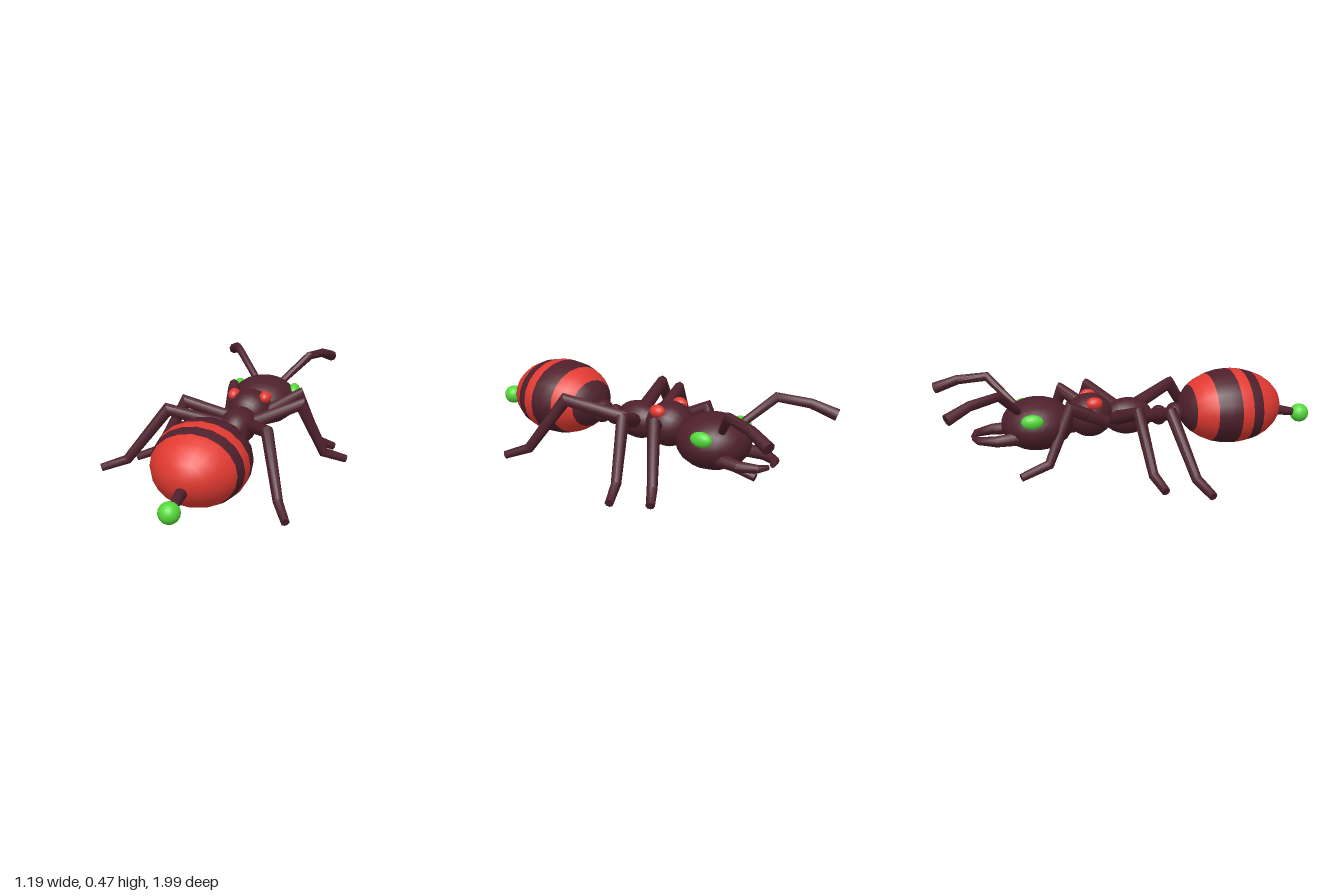
import * as THREE from 'three';
import { toCreasedNormals } from 'three/addons/utils/BufferGeometryUtils.js';

const CX = 0.072; // body axis
const V = (a) => new THREE.Vector3(...a);

// Mitred tube through points with one radius per point and closed ends.
function limbGeometry(points, radii, ref, sides = 8) {
  const p = points.map(V), pos = [], idx = [];
  p.forEach((c, i) => {
    const a = p[Math.max(i - 1, 0)], b = p[Math.min(i + 1, p.length - 1)];
    const before = (i ? c.clone().sub(a) : b.clone().sub(c)).normalize();
    const after = (i < p.length - 1 ? b.clone().sub(c) : c.clone().sub(a)).normalize();
    const t = before.clone().add(after).normalize();
    const mitre = 1 / Math.max(t.dot(before), 0.6);
    const side = ref.clone().addScaledVector(t, -ref.dot(t)).normalize();
    const up = t.clone().cross(side);
    for (let k = 0; k < sides; k++) {
      const g = (k / sides) * Math.PI * 2;
      const q = c.clone()
        .addScaledVector(side, Math.cos(g) * radii[i])
        .addScaledVector(up, Math.sin(g) * radii[i] * mitre);
      pos.push(q.x, q.y, q.z);
    }
  });
  for (let i = 0; i < p.length - 1; i++) {
    for (let k = 0; k < sides; k++) {
      const a = i * sides + k, b = i * sides + ((k + 1) % sides);
      idx.push(a, b, a + sides, b, b + sides, a + sides);
    }
  }
  const last = (p.length - 1) * sides;
  for (let k = 1; k < sides - 1; k++) {
    idx.push(0, k + 1, k, last, last + k, last + k + 1);
  }
  const geo = new THREE.BufferGeometry();
  geo.setAttribute('position', new THREE.Float32BufferAttribute(pos, 3));
  geo.setIndex(idx);
  return toCreasedNormals(geo, 0.85);
}

export function createModel() {
  const model = new THREE.Group();
  const material = (name, color) => {
    const m = new THREE.MeshStandardMaterial({ color });
    m.name = name;
    return m;
  };
  const shell = material('dark maroon shell', 0x4e202c);
  const red = material('bright red', 0xe23a31);
  const green = material('bright green', 0x55d93a);

  const add = (name, geo, mat) => {
    const mesh = new THREE.Mesh(geo, mat);
    mesh.name = name;
    model.add(mesh);
    return mesh;
  };
  // Ellipsoid with its poles along z
  const ellipsoid = (name, mat, center, radius, start = 0, length = Math.PI, rows = 14) => {
    const geo = new THREE.SphereGeometry(1, 20, rows, 0, Math.PI * 2, start, length);
    geo.rotateX(Math.PI / 2);
    const mesh = add(name, geo, mat);
    mesh.position.set(...center);
    mesh.scale.set(...radius);
    return mesh;
  };
  const limb = (name, points, radii, ref) => add(name, limbGeometry(points, radii, ref), shell);

  // Striped abdomen: bands of a 14-row ellipsoid, from the tail forward
  const rows = [0, 5, 6, 7, 9, 11, 14];
  for (let i = 0; i < rows.length - 1; i++) {
    const step = Math.PI / 14, n = rows[i + 1] - rows[i];
    ellipsoid('abdomenBand', i % 2 ? shell : red, [CX, 0.26, 0.53], [0.232, 0.196, 0.278],
      rows[i] * step, n * step, n);
  }

  // Stinger with a round tip
  limb('stinger', [[CX, 0.222, 0.77], [CX, 0.19, 0.93]], [0.03, 0.02], V([1, 0, 0]));
  ellipsoid('stingerBall', green, [CX, 0.187, 0.942], [0.05, 0.05, 0.05]);

  // Waist, thorax and head
  ellipsoid('rearWaist', shell, [CX, 0.235, 0.23], [0.064, 0.06, 0.047]);
  ellipsoid('frontWaist', shell, [CX, 0.235, 0.143], [0.05, 0.052, 0.045]);
  ellipsoid('rearThorax', shell, [CX, 0.245, -0.025], [0.092, 0.095, 0.13]);
  ellipsoid('frontThorax', shell, [CX, 0.265, -0.225], [0.121, 0.112, 0.118]);
  ellipsoid('head', shell, [CX, 0.24, -0.496], [0.182, 0.134, 0.182]);

  for (const s of [-1, 1]) {
    ellipsoid('thoraxSpot', red, [CX + s * 0.085, 0.345, -0.217], [0.032, 0.032, 0.042]);
    const eye = ellipsoid('eye', green, [CX + s * 0.16, 0.294, -0.543], [0.031, 0.037, 0.055]);
    eye.rotation.y = s * 0.15;

    // Curved jaw
    limb('jaw', [
      [CX + s * 0.095, 0.195, -0.6], [CX + s * 0.108, 0.192, -0.715],
      [CX + s * 0.07, 0.19, -0.795], [CX + s * 0.018, 0.188, -0.818],
    ], [0.036, 0.029, 0.021, 0.012], V([0, 1, 0]));
  }

  // Antennae
  limb('leftAntenna', [
    [0.135, 0.31, -0.585], [0.272, 0.448, -0.722], [0.312, 0.43, -0.87], [0.345, 0.385, -0.985],
  ], [0.019, 0.022, 0.025, 0.03], V([1, 0, 0]));
  limb('rightAntenna', [
    [0.012, 0.31, -0.585], [-0.132, 0.448, -0.705], [-0.2, 0.43, -0.85], [-0.252, 0.385, -0.96],
  ], [0.019, 0.022, 0.025, 0.03], V([1, 0, 0]));

  // Legs in a walking pose: hip, knee, ankle and tip as [x, z]
  const legs = {
    leftFrontLeg: [[0.12, -0.175], [0.31, -0.328], [0.405, -0.4], [0.482, -0.456]],
    leftMiddleLeg: [[0.1, -0.032], [0.36, -0.176], [0.475, -0.238], [0.582, -0.295]],
    leftRearLeg: [[0.115, -0.05], [0.305, 0.268], [0.41, 0.44], [0.475, 0.55]],
    rightFrontLeg: [[-0.012, -0.16], [-0.058, -0.35], [-0.086, -0.465], [-0.117, -0.61]],
    rightMiddleLeg: [[0.04, -0.105], [-0.22, -0.04], [-0.36, -0.004], [-0.475, 0.026]],
    rightRearLeg: [[0.04, 0.012], [-0.262, 0.112], [-0.464, 0.18], [-0.59, 0.222]],
  };
  const heights = [0.245, 0.34, 0.068, 0.023];
  for (const [name, plan] of Object.entries(legs)) {
    const points = plan.map(([x, z], i) => [x, heights[i], z]);
    const dx = plan[3][0] - plan[0][0], dz = plan[3][1] - plan[0][1];
    limb(name, points, [0.038, 0.031, 0.025, 0.021], V([dz, 0, -dx]).normalize());
  }
  return model;
}
